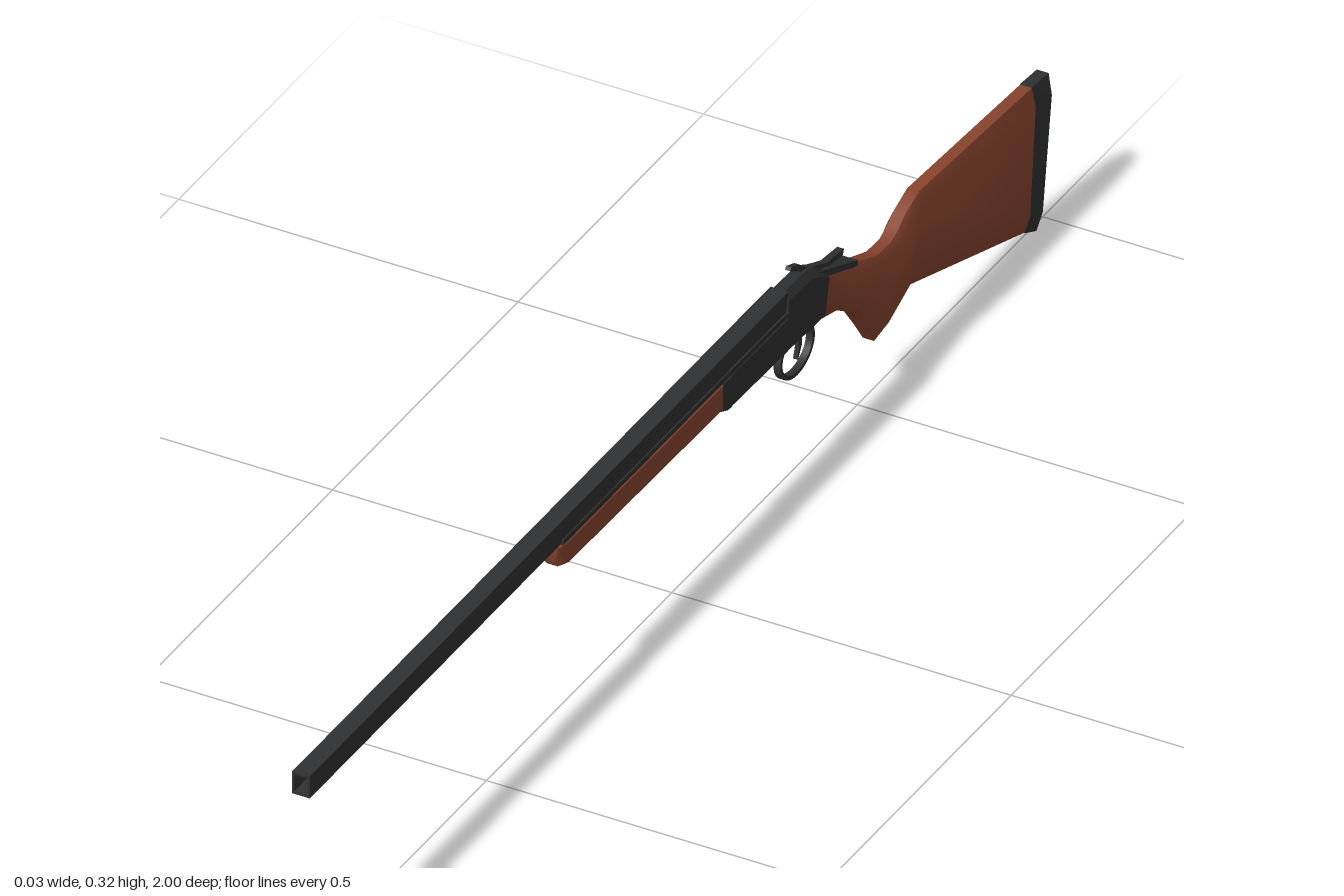
import * as THREE from 'three';
import { toCreasedNormals } from 'three/addons/utils/BufferGeometryUtils.js';

const mat = (color) => new THREE.MeshStandardMaterial({ color });

// Octagonal half-profile: [fraction of half width, fraction of height]
const SECTION = [[0.55, 0], [1, 0.13], [1, 0.87], [0.55, 1], [-0.55, 1], [-1, 0.87], [-1, 0.13], [-0.55, 0]];

// Loft through stations [zTop, yTop, zBottom, yBottom, halfWidth], ordered front to back
function loft(stations, crease = 0.6, section = SECTION) {
  const pos = [], idx = [], n = section.length, last = (stations.length - 1) * n;
  for (const [zt, yt, zb, yb, w] of stations)
    for (const [fx, fy] of section)
      pos.push(fx * w, yb + (yt - yb) * fy, zb + (zt - zb) * fy);
  for (let i = 0; i < stations.length - 1; i++)
    for (let j = 0; j < n; j++) {
      const a = i * n + j, b = i * n + (j + 1) % n, c = b + n, d = a + n;
      idx.push(a, d, b, b, d, c);
    }
  for (let k = 1; k < n - 1; k++) idx.push(0, k, k + 1, last, last + k + 1, last + k);
  const g = new THREE.BufferGeometry();
  g.setAttribute('position', new THREE.Float32BufferAttribute(pos, 3));
  g.setIndex(idx);
  return toCreasedNormals(g, crease);
}

const outline = (points) => new THREE.Shape(points.map(([a, b]) => new THREE.Vector2(a, b)));

// Side outline in (z, y), given a thickness across x
function sidePlate(shape, width) {
  const g = new THREE.ExtrudeGeometry(shape, { depth: width, bevelEnabled: false, curveSegments: 12 });
  g.translate(0, 0, -width / 2);
  g.rotateY(-Math.PI / 2);
  return toCreasedNormals(g, 0.6);
}

export function createModel() {
  const group = new THREE.Group();
  const metal = mat(0x303132), wood = mat(0x86432d), blue = mat(0x2050d8);
  const add = (name, geometry, material) => {
    const mesh = new THREE.Mesh(geometry, material);
    mesh.name = name;
    group.add(mesh);
    return mesh;
  };

  // Square hollow barrel with a plug deep inside the breech
  const tube = outline([[-0.013, 0.268], [0.013, 0.268], [0.013, 0.302], [-0.013, 0.302]]);
  tube.holes.push(outline([[-0.0105, 0.271], [-0.0105, 0.298], [0.0105, 0.298], [0.0105, 0.271]]));
  const barrel = new THREE.ExtrudeGeometry(tube, { depth: 1.29, bevelEnabled: false });
  barrel.translate(0, 0, -0.29);
  add('barrel', barrel, metal);
  add('breechPlug', new THREE.BoxGeometry(0.022, 0.028, 0.01), blue).position.set(0, 0.2845, -0.278);

  // Metal strip between barrel and forearm
  add('barrelRail', new THREE.BoxGeometry(0.03, 0.008, 0.61), metal).position.set(0, 0.269, 0.015);

  // Wooden forearm with rounded nose
  add('forearm', loft([
    [0.33, 0.268, 0.33, 0.245, 0.011],
    [0.327, 0.268, 0.322, 0.231, 0.0135],
    [0.31, 0.268, 0.305, 0.225, 0.015],
    [-0.115, 0.268, -0.115, 0.219, 0.0155],
  ]), wood);

  // Receiver and the hinge block in front of it
  add('hingeBlock', loft([
    [-0.11, 0.27, -0.11, 0.218, 0.0155],
    [-0.135, 0.27, -0.135, 0.207, 0.0155],
  ]), metal);
  add('receiver', loft([
    [-0.135, 0.271, -0.135, 0.207, 0.0145],
    [-0.285, 0.271, -0.285, 0.205, 0.0155],
    [-0.287, 0.302, -0.287, 0.205, 0.0155],
    [-0.35, 0.3, -0.345, 0.203, 0.0155],
    [-0.372, 0.29, -0.365, 0.202, 0.0155],
    [-0.4, 0.27, -0.385, 0.201, 0.015],
  ], 0.5), metal);

  // Tang let into the wrist, and the opening lever above it
  add('tang', sidePlate(outline([[-0.37, 0.285], [-0.37, 0.262], [-0.48, 0.232], [-0.48, 0.24]]), 0.024), metal);
  add('lever', sidePlate(outline([
    [-0.36, 0.296], [-0.36, 0.278], [-0.4, 0.268], [-0.452, 0.262], [-0.455, 0.27], [-0.41, 0.275],
  ]), 0.01), metal);

  // Hammer
  add('hammer', sidePlate(outline([
    [-0.322, 0.295], [-0.36, 0.318], [-0.357, 0.322], [-0.335, 0.314], [-0.312, 0.295],
  ].map(([z, y]) => [-0.672 - z, y])), 0.008), metal);

  // Trigger guard ring
  const ring = new THREE.Shape().absellipse(-0.33, 0.184, 0.047, 0.037, 0, Math.PI * 2);
  ring.holes.push(new THREE.Path().absellipse(-0.33, 0.184, 0.041, 0.031, 0, Math.PI * 2, true));
  add('triggerGuard', sidePlate(ring, 0.01), metal);

  // Trigger
  add('trigger', sidePlate(outline([
    [-0.335, 0.21], [-0.345, 0.21], [-0.345, 0.185], [-0.335, 0.167], [-0.332, 0.169], [-0.338, 0.187],
  ]), 0.006), metal);

  // Stock: wrist, grip and butt
  add('stock', loft([
    [-0.395, 0.27, -0.38, 0.203, 0.0145],
    [-0.45, 0.248, -0.43, 0.19, 0.0145],
    [-0.5, 0.227, -0.475, 0.16, 0.015],
    [-0.54, 0.212, -0.505, 0.12, 0.0152],
    [-0.575, 0.211, -0.53, 0.084, 0.0152],
    [-0.595, 0.219, -0.57, 0.09, 0.0152],
    [-0.613, 0.232, -0.595, 0.101, 0.0155],
    [-0.65, 0.246, -0.628, 0.115, 0.0155],
    [-0.955, 0.229, -0.935, 0.016, 0.0155],
  ], 0.7), wood);

  // Butt pad
  add('buttPad', loft([
    [-0.955, 0.23, -0.935, 0.015, 0.0158],
    [-1, 0.226, -0.967, 0, 0.0158],
  ]), metal);

  return group;
}
